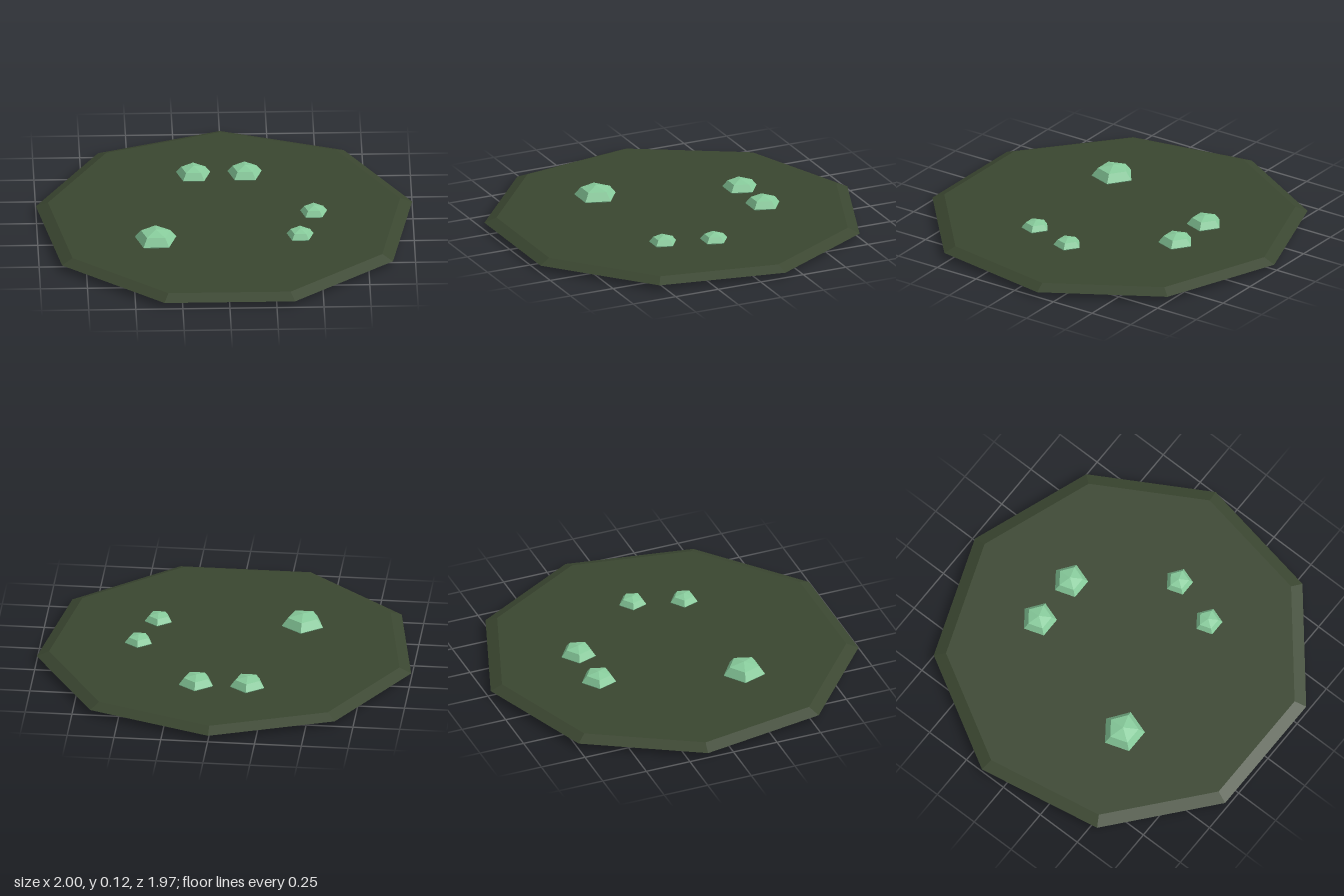
import * as THREE from 'three';

export function createModel() {
  const model = new THREE.Group();
  model.name = 'lilyPadWithBuds';

  const padMaterial = new THREE.MeshStandardMaterial({ color: 0x3a4630, flatShading: true });
  const budMaterial = new THREE.MeshStandardMaterial({ color: 0x88cc9c, flatShading: true });

  // Thin nine-sided pad with a bevelled rim, one corner pointing back
  const bottom = 0.028, top = 0.055;
  const pad = new THREE.Mesh(new THREE.CylinderGeometry(0.95, 1.015, top - bottom, 9), padMaterial);
  pad.name = 'pad';
  pad.rotation.y = Math.PI;
  pad.position.set(0, (top + bottom) / 2, 0.031);
  model.add(pad);

  // Flattened five-sided buds set through the pad: x, z, radius
  const buds = [
    [-0.375, 0.316, 0.116],
    [-0.155, -0.428, 0.096],
    [0.118, -0.433, 0.096],
    [0.472, 0.023, 0.076],
    [0.393, 0.285, 0.076],
  ];
  const budGeometry = new THREE.SphereGeometry(1, 5, 4).rotateY(-Math.PI / 2);
  buds.forEach(([x, z, r], i) => {
    const bud = new THREE.Mesh(budGeometry, budMaterial);
    bud.name = `bud${i + 1}`;
    bud.scale.set(r, r * 0.52, r);
    bud.position.set(x, 0.0605, z);
    model.add(bud);
  });

  return model;
}
